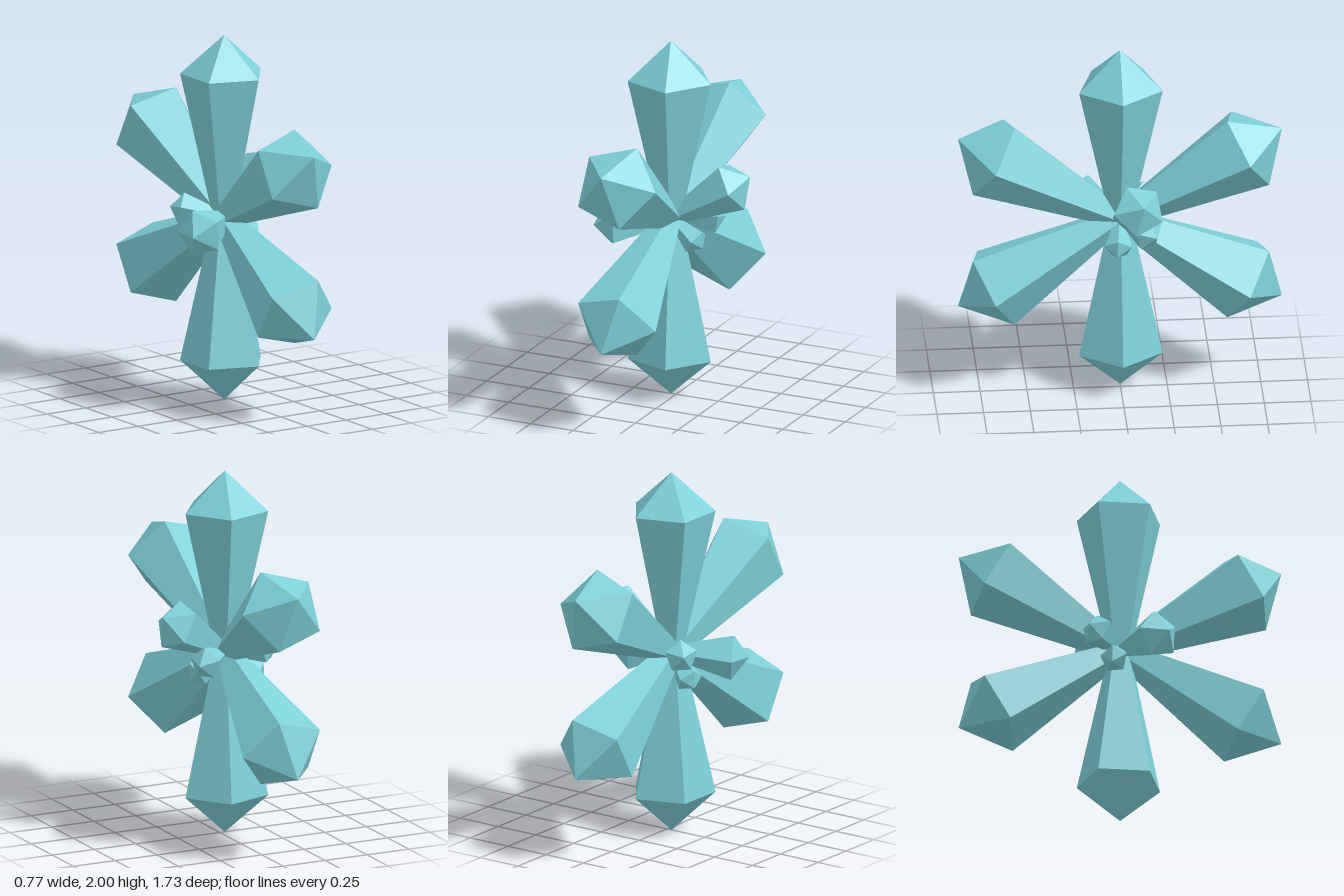
import * as THREE from 'three';

const material = new THREE.MeshStandardMaterial({ color: 0x7ed0d8, flatShading: true });
const CENTRE = new THREE.Vector3(-0.03, 1, 0);

// Five-sided crystal: narrow root, wide shoulder, pointed tip.
// dir points from the shared root to the tip; ref is the side that carries a corner.
function crystal(name, dir, ref, radius, rootRadius) {
  const length = dir.length();
  const profile = [
    [0, 0],
    [rootRadius, 0],
    [radius, length * 0.785],
    [0, length],
  ].map(([r, h]) => new THREE.Vector2(r, h));
  const mesh = new THREE.Mesh(new THREE.LatheGeometry(profile, 5), material);
  mesh.name = name;

  const y = dir.clone().normalize();
  const z = ref.clone().addScaledVector(y, -ref.dot(y)).normalize();
  const x = new THREE.Vector3().crossVectors(y, z);
  mesh.quaternion.setFromRotationMatrix(new THREE.Matrix4().makeBasis(x, y, z));
  mesh.position.copy(CENTRE);
  return mesh;
}

export function createModel() {
  const group = new THREE.Group();
  group.name = 'crystalCluster';

  // Ring of six large crystals in the upright plane
  for (let i = 0; i < 6; i++) {
    const a = (i * Math.PI) / 3;
    const dir = new THREE.Vector3(0, Math.cos(a), Math.sin(a));
    group.add(crystal(`largeCrystal${i + 1}`, dir, new THREE.Vector3(1, 0, 0), 0.235, 0.06));
  }

  // Smaller crystals growing out of both sides: tip, corner side, radius
  const small = [
    ['leftUpperCrystal', [0.39, 1.26, -0.1], [-0.06, 0.125, 0.07], 0.142],
    ['leftRearCrystal', [0.21, 0.985, -0.18], [0, 1, 0], 0.09],
    ['leftLowerCrystal', [0.17, 0.86, 0.025], [0, 1, 0], 0.075],
    ['rightFrontCrystal', [-0.38, 0.975, 0.225], [-1, 0, -1], 0.13],
    ['rightRearCrystal', [-0.25, 1.05, -0.19], [0, 1, 0], 0.09],
    ['rightLowerCrystal', [-0.23, 0.845, -0.065], [0, 1, 0], 0.075],
  ];
  for (const [name, tip, ref, radius] of small) {
    const dir = new THREE.Vector3(...tip).sub(CENTRE);
    group.add(crystal(name, dir, new THREE.Vector3(...ref), radius, radius * 0.3));
  }
  return group;
}
